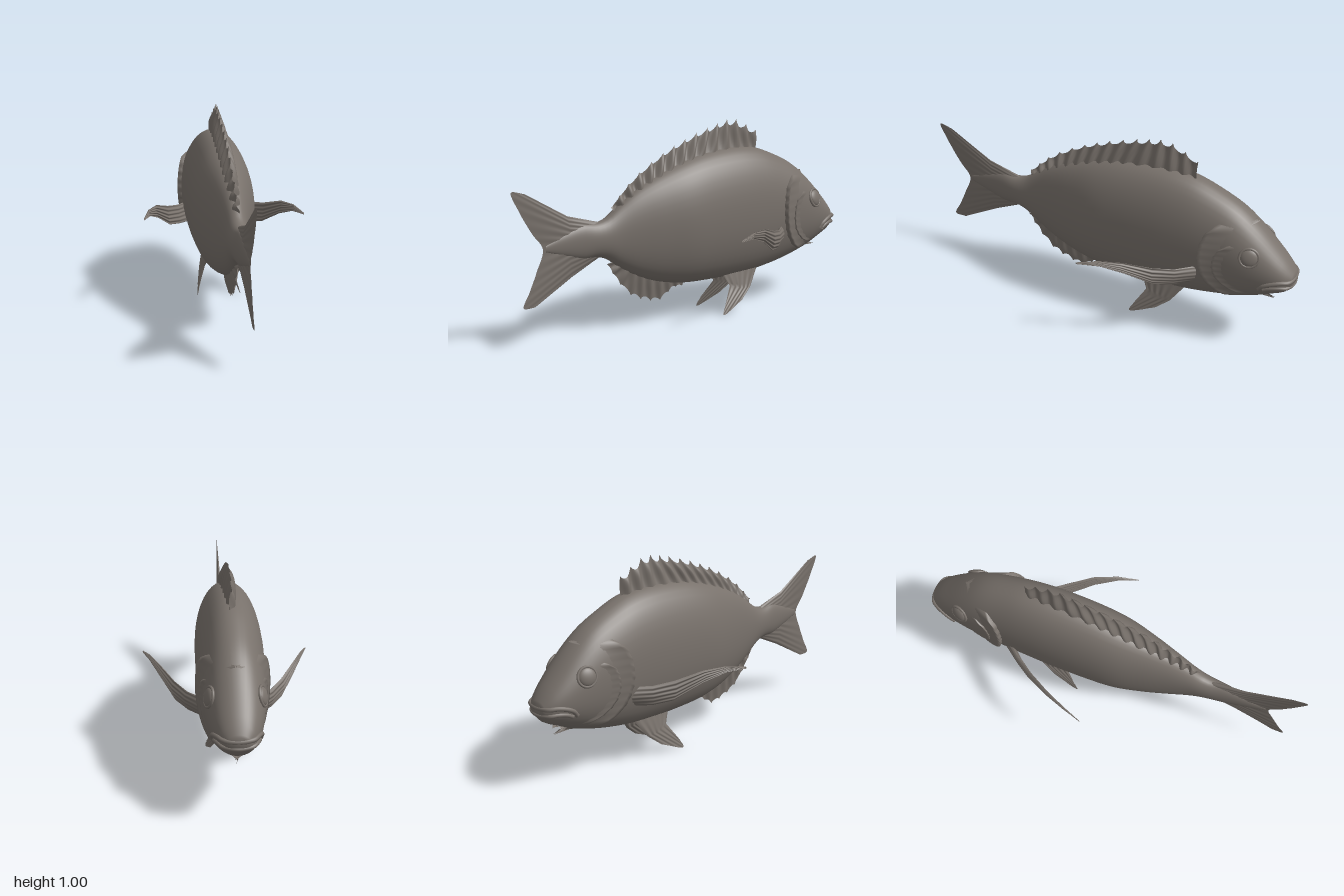
import * as THREE from 'three';
import { mergeVertices } from 'three/addons/utils/BufferGeometryUtils.js';

const X0 = -0.01; // mid plane of the body
const V = (x, y, z) => new THREE.Vector3(x, y, z);
const skin = new THREE.MeshStandardMaterial({ color: 0x78716b, side: THREE.DoubleSide });
skin.name = 'grey brown skin';

// Body stations: z, top, bottom, half width
const stations = [
  [-0.985, 0.455, 0.375, 0.055], [-0.96, 0.49, 0.345, 0.078], [-0.9, 0.555, 0.315, 0.105],
  [-0.8, 0.655, 0.27, 0.13], [-0.7, 0.735, 0.238, 0.143], [-0.58, 0.795, 0.21, 0.151],
  [-0.45, 0.84, 0.19, 0.158], [-0.3, 0.855, 0.18, 0.163], [-0.1, 0.84, 0.18, 0.162],
  [0.05, 0.805, 0.19, 0.152], [0.2, 0.75, 0.222, 0.118], [0.32, 0.69, 0.27, 0.086],
  [0.42, 0.62, 0.33, 0.062], [0.48, 0.577, 0.373, 0.054], [0.54, 0.56, 0.392, 0.047],
  [0.62, 0.562, 0.392, 0.035], [0.72, 0.53, 0.42, 0.02], [0.82, 0.485, 0.455, 0.005]
];

// Smooth interpolation of table rows keyed by their first column
function lookup(rows, key) {
  let i = 0;
  while (i < rows.length - 2 && key > rows[i + 1][0]) i++;
  const row = k => rows[Math.max(0, Math.min(rows.length - 1, k))];
  const [a, b, c, d] = [row(i - 1), row(i), row(i + 1), row(i + 2)];
  const h = c[0] - b[0];
  const t = THREE.MathUtils.clamp((key - b[0]) / h, 0, 1);
  return b.map((_, k) => {
    const m0 = (c[k] - a[k]) / (c[0] - a[0]) * h, m1 = (d[k] - b[k]) / (d[0] - b[0]) * h;
    return (2 * t ** 3 - 3 * t * t + 1) * b[k] + (t ** 3 - 2 * t * t + t) * m0
      + (3 * t * t - 2 * t ** 3) * c[k] + (t ** 3 - t * t) * m1;
  });
}

// Point on the flank at a given z and y, pushed outwards by off
function flank(z, y, side, off = 0) {
  const [, top, bottom, w] = lookup(stations, z);
  const t = Math.min(1, Math.abs((y - (top + bottom) / 2) / ((top - bottom) / 2)));
  return V(X0 + side * (w * Math.pow(1 - t ** 2.1, 1 / 2.1) + off), y, z);
}

// Grid surface from a function of u and v
function grid(nu, nv, fn) {
  const pos = [], index = [];
  for (let i = 0; i <= nu; i++) for (let j = 0; j <= nv; j++) {
    pos.push(...fn(i / nu, j / nv).toArray());
    if (i < nu && j < nv) {
      const a = i * (nv + 1) + j, b = a + 1, c = a + nv + 1, d = c + 1;
      index.push(a, b, c, b, d, c);
    }
  }
  const g = new THREE.BufferGeometry();
  g.setAttribute('position', new THREE.Float32BufferAttribute(pos, 3));
  g.setIndex(index);
  return g;
}

function addMesh(parent, name, geometry) {
  if (!geometry.attributes.normal) geometry.computeVertexNormals();
  const mesh = new THREE.Mesh(geometry, skin);
  mesh.name = name;
  parent.add(mesh);
  return mesh;
}

// Point along a polyline, evenly by index
function along(points, t) {
  const f = t * (points.length - 1), i = Math.min(points.length - 2, Math.floor(f));
  return points[i].clone().lerp(points[i + 1], f - i);
}

// Thin lens-shaped fin spanned between lines that run from root to rim
function addFin(parent, name, lines, { dir = V(1, 0, 0), thick = 0.012, rays = 10, jag = 0, wave = 0.003 }) {
  const fin = new THREE.Group();
  fin.name = name;
  const curves = lines.map(l => new THREE.CatmullRomCurve3(l, false, 'centripetal'));
  const nv = rays * 8;
  for (const face of [1, -1]) {
    const g = grid(10, nv, (u, v) => {
      const tooth = (v * rays) % 1;
      const uu = u * (1 - jag * u * Math.sin(Math.PI * tooth) ** 0.7);
      const p = along(curves.map(c => c.getPoint(v)), uu);
      const rim = Math.pow(Math.sin(Math.PI * Math.min(1, Math.max(0, v))), 0.5) || 0;
      const t = face * thick * (1 - u) * rim + wave * Math.cos(v * rays * 2 * Math.PI) * Math.sin(Math.PI * (0.1 + 0.8 * u));
      return p.addScaledVector(dir, t);
    });
    if (face < 0) g.setIndex([...g.index.array].reverse());
    addMesh(fin, name + (face > 0 ? 'LeftFace' : 'RightFace'), g);
  }
  parent.add(fin);
}

const flat = pts => pts.map(([z, y]) => V(X0, y, z));

export function createModel() {
  const fish = new THREE.Group();
  fish.name = 'fish';

  // Body, closed at the snout
  const z0 = stations[0][0], z1 = stations[stations.length - 1][0];
  const body = grid(72, 40, (u, v) => {
    const [, top, bottom, w] = lookup(stations, z0 + (z1 - z0) * Math.max(0, (u * 72 - 2) / 70));
    const shrink = [0, 0.75][Math.round(u * 72)] ?? 1;
    const z = u * 72 < 1.5 ? z0 - 0.014 + 0.008 * Math.round(u * 72) : z0 + (z1 - z0) * (u * 72 - 2) / 70;
    const a = v * Math.PI * 2, c = Math.cos(a), s = Math.sin(a), e = 2 / 2.1;
    return V(X0 + shrink * w * Math.sign(c) * Math.abs(c) ** e,
      (top + bottom) / 2 + shrink * (top - bottom) / 2 * Math.sign(s) * Math.abs(s) ** e, z);
  });
  addMesh(fish, 'body', mergeVertices(body, 1e-5));

  // Forked tail
  addFin(fish, 'tailFin', [
    flat([[0.5, 0.555], [0.52, 0.52], [0.54, 0.475], [0.52, 0.43], [0.5, 0.4]]),
    flat([[0.7, 0.612], [0.69, 0.55], [0.69, 0.472], [0.69, 0.39], [0.68, 0.315]]),
    flat([[0.925, 0.742], [0.995, 0.755], [0.96, 0.67], [0.89, 0.55], [0.835, 0.47],
      [0.87, 0.37], [0.91, 0.28], [0.945, 0.205], [0.885, 0.2]])
  ], { thick: 0.028, rays: 12, wave: 0.001 });

  // Spiny dorsal fin
  addFin(fish, 'dorsalFin', [
    flat([[-0.46, 0.82], [-0.3, 0.835], [-0.1, 0.82], [0.05, 0.785], [0.2, 0.73], [0.32, 0.665], [0.44, 0.59]]),
    flat([[-0.465, 0.93], [-0.31, 1.0], [-0.17, 0.975], [0.0, 0.92], [0.16, 0.85], [0.33, 0.745], [0.455, 0.625]])
  ], { thick: 0.035, rays: 14, jag: 0.22, wave: 0.013 });

  // Anal fin
  addFin(fish, 'analFin', [
    flat([[0.01, 0.21], [0.12, 0.225], [0.25, 0.26], [0.35, 0.305], [0.44, 0.36]]),
    flat([[0.02, 0.168], [0.08, 0.165], [0.16, 0.115], [0.25, 0.13], [0.34, 0.17], [0.43, 0.27], [0.48, 0.348]])
  ], { thick: 0.018, rays: 9, jag: 0.14, wave: 0.006 });

  for (const s of [1, -1]) {
    const side = s > 0 ? 'left' : 'right';

    // Pectoral fin, swept out and back
    addFin(fish, side + 'PectoralFin', [
      [V(s * 0.13, 0.43, -0.53), V(s * 0.135, 0.38, -0.53), V(s * 0.13, 0.325, -0.5)],
      [V(s * 0.2, 0.43, -0.45), V(s * 0.2, 0.38, -0.445), V(s * 0.19, 0.328, -0.44)],
      [V(s * 0.26, 0.448, -0.36), V(s * 0.262, 0.395, -0.355), V(s * 0.25, 0.345, -0.36)],
      [V(s * 0.33, 0.485, -0.24), V(s * 0.335, 0.455, -0.225), V(s * 0.32, 0.415, -0.24)],
      [V(s * 0.375, 0.49, -0.13), V(s * 0.38, 0.475, -0.12), V(s * 0.37, 0.455, -0.13)],
      [V(s * 0.41, 0.47, -0.025), V(s * 0.41, 0.465, -0.02), V(s * 0.41, 0.46, -0.025)]
    ], { dir: V(0.82, 0, -0.57 * s), thick: 0.016, rays: 5, wave: 0.003 });

    // Pelvic fin
    addFin(fish, side + 'PelvicFin', [
      [V(X0 + s * 0.05, 0.205, -0.44), V(X0 + s * 0.05, 0.205, -0.32), V(X0 + s * 0.05, 0.2, -0.21)],
      [V(X0 + s * 0.075, 0.115, -0.375), V(X0 + s * 0.075, 0.12, -0.31), V(X0 + s * 0.068, 0.14, -0.24)],
      [V(X0 + s * 0.095, 0.055, -0.3), V(X0 + s * 0.114, 0.005, -0.165), V(X0 + s * 0.1, 0.06, -0.19)]
    ], { thick: 0.01, rays: 5, wave: 0.002 });

    // Gill cover and cheek plate: raised patches with a curved rear rim
    const rim = [[0.265, -0.74], [0.3, -0.655], [0.37, -0.585], [0.45, -0.552], [0.55, -0.548], [0.64, -0.575], [0.69, -0.63]];
    const plate = (name, shift, y0, y1, reach, lift) => addMesh(fish, side + name, grid(10, 32, (u, v) => {
      const y = y0 + (y1 - y0) * v;
      const edge = lookup(rim, 0.265 + 0.425 * v)[1] + shift + 0.003 * Math.sin(v * 60);
      const fade = Math.min(1, 6 * Math.sin(Math.PI * v) + 0.01);
      const k = u > 0.95 ? 1 : u / 0.9;
      const off = u > 0.95 ? -0.012 : -0.004 + (lift + 0.004) * k * k * fade;
      return flank(edge - reach * (1 - k), y, s, off);
    }));
    plate('GillCover', 0, 0.265, 0.69, 0.16, 0.022);
    plate('CheekPlate', -0.07, 0.3, 0.6, 0.1, 0.009);

    // Eye with raised socket ring, facing along the surface normal
    const c = flank(-0.79, 0.55, s);
    const normal = flank(-0.77, 0.55, s).sub(flank(-0.81, 0.55, s))
      .cross(flank(-0.79, 0.57, s).sub(flank(-0.79, 0.53, s))).normalize();
    if (normal.x * s < 0) normal.negate();
    const eye = new THREE.Group();
    eye.name = side + 'Eye';
    const ball = addMesh(eye, side + 'Eyeball', new THREE.SphereGeometry(0.043, 24, 16));
    ball.scale.z = 0.4;
    addMesh(eye, side + 'EyeSocket', new THREE.TorusGeometry(0.046, 0.007, 8, 32));
    eye.position.copy(c);
    eye.quaternion.setFromUnitVectors(V(0, 0, 1), normal);
    fish.add(eye);
  }

  // Lips wrapping round the snout
  const lip = (name, pts, front, r) => {
    const path = [
      ...pts.map(([z, y]) => flank(z, y, 1)).reverse(), front, ...pts.map(([z, y]) => flank(z, y, -1))
    ];
    addMesh(fish, name, new THREE.TubeGeometry(new THREE.CatmullRomCurve3(path), 48, r, 8));
  };
  lip('upperLip', [[-0.975, 0.425], [-0.94, 0.427], [-0.9, 0.418], [-0.865, 0.4], [-0.845, 0.375]], V(X0, 0.422, -0.989), 0.011);
  lip('lowerLip', [[-0.97, 0.392], [-0.94, 0.395], [-0.9, 0.389], [-0.865, 0.373]], V(X0, 0.388, -0.988), 0.01);

  return fish;
}
